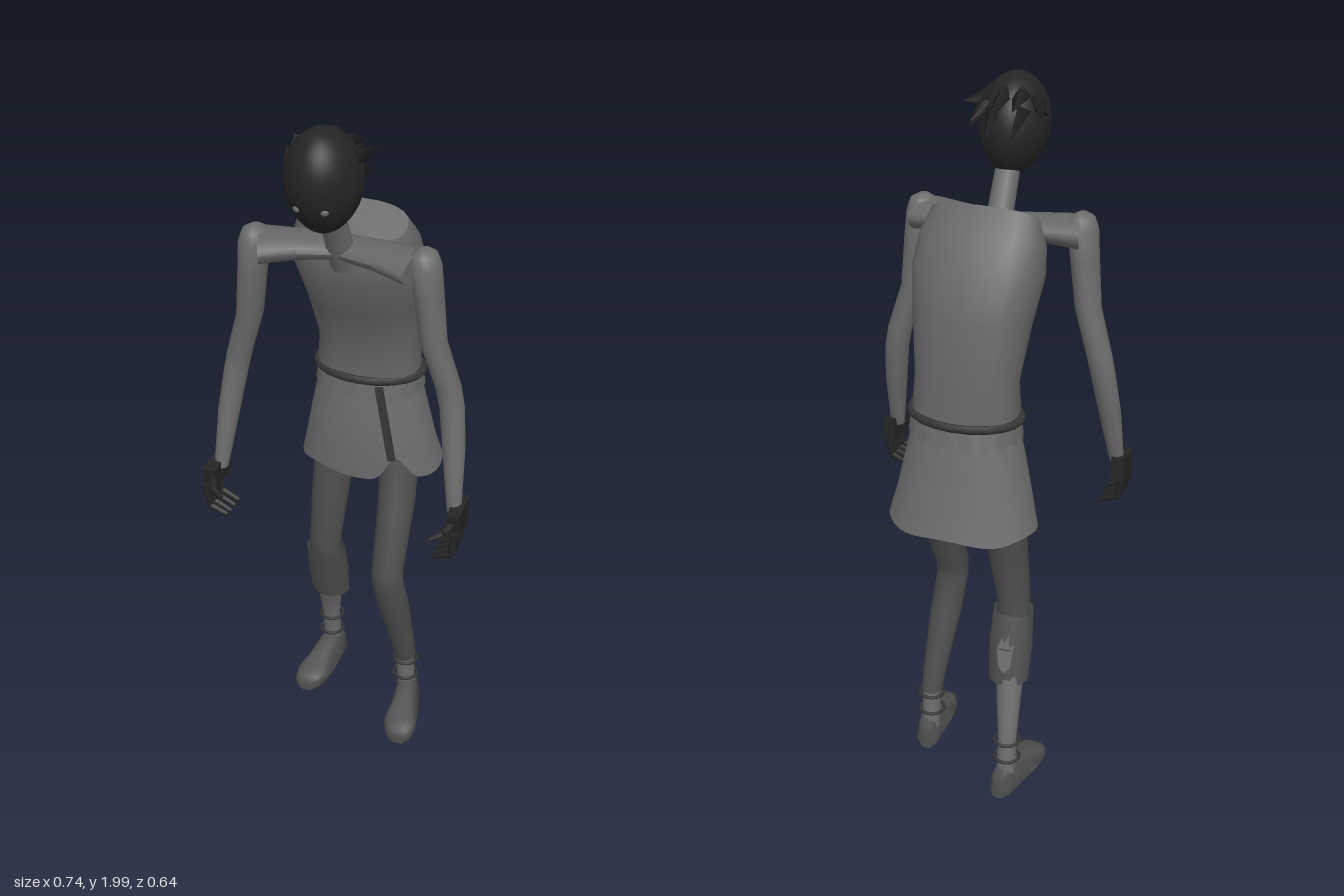
import * as THREE from 'three';
import { toCreasedNormals } from 'three/addons/utils/BufferGeometryUtils.js';

const V = (x, y, z) => new THREE.Vector3(x, y, z);
const mat = (name, color, side = THREE.FrontSide) => {
  const m = new THREE.MeshStandardMaterial({ color, side });
  m.name = name;
  return m;
};

// Ring of points round c, spanned by the axes a and b; bend may move each point
function ring(c, a, b, n = 16, power = 1, bend) {
  const pts = [];
  for (let i = 0; i < n; i++) {
    const t = (i / n) * Math.PI * 2, co = Math.cos(t), si = Math.sin(t);
    const p = c.clone()
      .addScaledVector(a, Math.sign(co) * Math.abs(co) ** power)
      .addScaledVector(b, Math.sign(si) * Math.abs(si) ** power);
    if (bend) bend(p, t);
    pts.push(p);
  }
  return pts;
}

// Skin through equal rings, with optional flat ends
function loft(rings, caps = true, crease = 0.7) {
  const n = rings[0].length, pos = [], idx = [];
  const centre = r => r.reduce((s, p) => s.add(p), V(0, 0, 0)).divideScalar(n);
  const c0 = centre(rings[0]), d = centre(rings[1]).sub(c0);
  const q = Math.floor(n / 4);
  const turn = rings[0][0].clone().sub(c0).cross(rings[0][q].clone().sub(c0)).dot(d);
  const tri = (a, b, c) => (turn > 0 ? idx.push(a, b, c) : idx.push(a, c, b));
  rings.forEach(r => r.forEach(p => pos.push(p.x, p.y, p.z)));
  for (let i = 0; i < rings.length - 1; i++) for (let j = 0; j < n; j++) {
    const k = (j + 1) % n, a = i * n, b = a + n;
    tri(a + j, a + k, b + k);
    tri(a + j, b + k, b + j);
  }
  if (caps) [0, rings.length - 1].forEach(e => {
    const c = centre(rings[e]), m = pos.length / 3;
    pos.push(c.x, c.y, c.z);
    for (let j = 0; j < n; j++) {
      const k = (j + 1) % n;
      e ? tri(m, e * n + j, e * n + k) : tri(m, k, j);
    }
  });
  const g = new THREE.BufferGeometry();
  g.setAttribute('position', new THREE.Float32BufferAttribute(pos, 3));
  g.setIndex(idx);
  return toCreasedNormals(g, crease);
}

// Limb made of level rings: [x, y, z, rx, rz]
const limb = (rows, caps = true, n = 14) =>
  loft(rows.map(([x, y, z, rx, rz]) => ring(V(x, y, z), V(rx, 0, 0), V(0, 0, -rz), n)), caps, 0.9);

// Tapered rod between two points
function rod(a, b, r0, r1, sides = 6) {
  const g = new THREE.CylinderGeometry(r1, r0, a.distanceTo(b), sides);
  g.applyQuaternion(new THREE.Quaternion().setFromUnitVectors(V(0, 1, 0), b.clone().sub(a).normalize()));
  const m = a.clone().add(b).multiplyScalar(0.5);
  return g.translate(m.x, m.y, m.z);
}

export function createModel() {
  const model = new THREE.Group();
  const skin = mat('skin', 0x6c6c6c);
  const shirt = mat('shirt', 0x666666, THREE.DoubleSide);
  const skirtMat = mat('skirt', 0x6c6c6c, THREE.DoubleSide);
  const trousers = mat('trousers', 0x4e4e4e, THREE.DoubleSide);
  const shoe = mat('shoe', 0x505050);
  const black = mat('mask and gloves', 0x242424);
  const hairMat = mat('hair', 0x202020);
  const belt = mat('belt', 0x363636);
  const eyeMat = mat('eye', 0x707070);
  const add = (name, geo, m, parent = model) => {
    const mesh = new THREE.Mesh(geo, m);
    mesh.name = name;
    parent.add(mesh);
    return mesh;
  };

  // Hunched torso: [back y, back z, front y, front z, half width]
  const torso = [
    [1.18, -0.25, 1.18, -0.055, 0.147], [1.3, -0.237, 1.27, -0.055, 0.14],
    [1.46, -0.21, 1.4, -0.005, 0.158], [1.58, -0.17, 1.52, 0.053, 0.176],
    [1.66, -0.11, 1.59, 0.055, 0.17], [1.72, -0.052, 1.64, 0.04, 0.148],
  ].map(([by, bz, fy, fz, w]) =>
    ring(V(0, (by + fy) / 2, (bz + fz) / 2), V(w, 0, 0), V(0, (by - fy) / 2, (bz - fz) / 2), 20, 0.8));
  add('torso', loft(torso, true, 0.6), shirt);

  // Scalloped shirt tail and flared skirt with a front slit
  const tail = (y, rx, z, rz, bend) => ring(V(0, y, z), V(rx, 0, 0), V(0, 0, -rz), 64, 0.92, bend);
  add('shirtTail', loft([
    tail(1.19, 0.148, -0.155, 0.1),
    tail(1.118, 0.156, -0.158, 0.117, (p, t) => { p.y += 0.018 * Math.abs(Math.cos(t * 8)); }),
  ], false), shirt);
  add('skirt', loft([
    tail(1.16, 0.144, -0.155, 0.1), tail(1.05, 0.168, -0.161, 0.121), tail(0.95, 0.189, -0.17, 0.134),
    tail(0.872, 0.208, -0.182, 0.144, (p, t) => {
      p.y += 0.006 * Math.sin(t * 5);
      if (p.z > -0.18) p.y += 0.075 * Math.max(0, 1 - Math.abs(p.x - 0.11) / 0.05);
    }),
  ], false), skirtMat);

  // Belt with a hanging strap
  const beltRing = new THREE.TorusGeometry(1, 0.085, 6, 20).rotateX(Math.PI / 2).scale(0.152, 0.14, 0.108);
  add('belt', beltRing.translate(0, 1.183, -0.155), belt);
  const strap = add('beltStrap', new THREE.BoxGeometry(0.022, 0.225, 0.009), belt);
  strap.position.set(0.083, 1.06, -0.038);
  strap.rotation.set(-0.07, 0, 0.2);

  // Neck
  add('neck', rod(V(0, 1.59, 0.065), V(0, 1.78, 0.165), 0.037, 0.033, 14), skin);

  // Head with a narrow chin
  const head = new THREE.Group();
  head.name = 'head';
  head.position.set(0, 1.866, 0.203);
  head.rotation.x = 0.3;
  model.add(head);
  const egg = new THREE.SphereGeometry(1, 28, 20);
  const ep = egg.attributes.position;
  for (let i = 0; i < ep.count; i++) {
    const low = Math.max(0, -ep.getY(i));
    ep.setX(i, ep.getX(i) * (1 - 0.2 * low * low));
  }
  egg.scale(0.096, 0.137, 0.112).computeVertexNormals();
  add('face', egg, black, head);
  for (const s of [1, -1])
    add('eye', new THREE.SphereGeometry(1, 10, 8).scale(0.01, 0.008, 0.004).rotateY(s * 0.35)
      .translate(s * 0.036, -0.012, 0.104), eyeMat, head);

  // Swept-back hair tufts: base, tip, thickness
  const hair = new THREE.Group();
  hair.name = 'hair';
  model.add(hair);
  [[-0.07, 1.94, 0.18, -0.117, 1.92, 0.083, 0.026], [-0.035, 1.955, 0.16, -0.046, 1.935, 0.06, 0.026],
    [0.005, 1.955, 0.15, 0.012, 1.92, 0.038, 0.028], [0.05, 1.955, 0.17, 0.066, 1.94, 0.102, 0.022],
    [0.072, 1.93, 0.2, 0.111, 1.935, 0.118, 0.024], [-0.078, 1.92, 0.21, -0.123, 1.91, 0.132, 0.024],
    [0.055, 1.93, 0.14, 0.085, 1.89, 0.095, 0.022], [-0.05, 1.92, 0.13, -0.04, 1.86, 0.07, 0.026],
    [0.025, 1.92, 0.12, 0.03, 1.86, 0.062, 0.026], [0.08, 1.9, 0.19, 0.096, 1.87, 0.12, 0.022],
  ].forEach(([x, y, z, tx, ty, tz, r]) =>
    add('hairTuft', rod(V(x, y, z), V(tx, ty, tz), r, 0.001, 4).toNonIndexed(), hairMat, hair));

  for (const s of [1, -1]) {
    const side = s > 0 ? 'left' : 'right';

    // Wide shoulder sleeve, cut flat at its outer end
    add(side + 'ShoulderSleeve', loft([
      ring(V(0, 1.635, 0.07), V(0, 0.026, 0), V(0, 0, 0.055)),
      ring(V(s * 0.11, 1.632, 0.085), V(0, 0.034, 0), V(-s * 0.01, 0, 0.062)),
      ring(V(s * 0.215, 1.625, 0.105), V(0, 0.043, 0), V(-s * 0.025, 0, 0.075)),
    ]), shirt);

    // Bent arm with a rounded shoulder
    add(side + 'Arm', limb([
      [s * 0.225, 1.678, 0.105, 0.012, 0.018], [s * 0.226, 1.667, 0.105, 0.032, 0.036],
      [s * 0.228, 1.635, 0.105, 0.041, 0.05], [s * 0.237, 1.56, 0.1, 0.038, 0.05],
      [s * 0.252, 1.42, 0.096, 0.035, 0.045], [s * 0.292, 1.29, 0.083, 0.035, 0.035],
      [s * 0.305, 1.23, 0.085, 0.034, 0.034], [s * 0.32, 1.12, 0.107, 0.031, 0.033],
      [s * 0.337, 0.95, 0.143, 0.02, 0.021],
    ]), skin);

    // Gloved hand with curled fingers
    const hand = new THREE.Group();
    hand.name = side + 'Hand';
    model.add(hand);
    const palm = add('palm', new THREE.BoxGeometry(0.036, 0.066, 0.098), black, hand);
    palm.position.set(s * 0.349, 0.938, 0.148);
    palm.rotation.x = 0.12;
    [0.12, 0.148, 0.176, 0.203].forEach((z, i) => {
      const k = V(s * 0.358, 0.915, z), m = V(s * 0.35, 0.85, z + 0.002);
      add('fingerBase', rod(k, m, 0.012, 0.01), black, hand);
      add('fingerTip', rod(m, V(s * 0.298, 0.826 + (i === 3 ? 0.006 : 0), z + 0.004), 0.01, 0.007), black, hand);
    });
    add('thumbBase', rod(V(s * 0.345, 0.935, 0.18), V(s * 0.33, 0.925, 0.225), 0.014, 0.011), black, hand);
    add('thumbTip', rod(V(s * 0.33, 0.925, 0.225), V(s * 0.298, 0.91, 0.241), 0.011, 0.007), black, hand);

    // Anklets
    const ax = s > 0 ? 0.14 : -0.15, az = s > 0 ? -0.1 : -0.232;
    for (const y of [0.19, 0.13])
      add(side + 'Anklet', new THREE.TorusGeometry(0.036, 0.005, 6, 16).rotateX(Math.PI / 2).translate(ax, y, az), belt);

    // Shoe: [distance from heel, half width, height]
    const heel = s > 0 ? -0.148 : -0.283;
    add(side + 'Shoe', loft([
      [0, 0.022, 0.07], [0.012, 0.036, 0.095], [0.07, 0.044, 0.106], [0.13, 0.05, 0.085],
      [0.19, 0.05, 0.062], [0.225, 0.04, 0.05], [0.238, 0.024, 0.038],
    ].map(([d, w, h], i) => ring(V(s * (0.143 + d * 0.13), 0.007 + h / 2, heel + d),
      V(w, 0, 0), V(0, h / 2, 0), 16, 0.7, p => { if (p.y > h / 2 && i < 4) p.x += (s * (0.143 + d * 0.13) - p.x) * 0.25; })), true, 0.9), shoe);
  }

  // Left leg, trousered to the ankle
  add('leftTrouserLeg', limb([
    [0.09, 1.06, -0.16, 0.06, 0.065], [0.1, 0.93, -0.13, 0.058, 0.064], [0.107, 0.78, -0.082, 0.054, 0.06],
    [0.11, 0.6, 0.005, 0.047, 0.048], [0.111, 0.56, 0.008, 0.047, 0.045], [0.12, 0.45, -0.025, 0.047, 0.045],
    [0.135, 0.28, -0.075, 0.036, 0.037], [0.14, 0.2, -0.098, 0.031, 0.033],
  ]), trousers);
  add('leftAnkle', limb([[0.14, 0.22, -0.094, 0.027, 0.028], [0.143, 0.07, -0.105, 0.027, 0.03]]), skin);

  // Right leg, set back, with a torn cuff below the knee
  add('rightTrouserLeg', limb([
    [-0.09, 1.06, -0.16, 0.06, 0.065], [-0.098, 0.93, -0.15, 0.064, 0.064], [-0.108, 0.78, -0.125, 0.057, 0.056],
    [-0.12, 0.59, -0.1, 0.048, 0.046], [-0.122, 0.52, -0.11, 0.046, 0.044],
  ]), trousers);
  add('rightShin', limb([
    [-0.122, 0.55, -0.105, 0.042, 0.04], [-0.13, 0.42, -0.145, 0.042, 0.042], [-0.14, 0.3, -0.192, 0.035, 0.034],
    [-0.15, 0.2, -0.228, 0.027, 0.028], [-0.15, 0.07, -0.24, 0.027, 0.03],
  ]), skin);
  add('rightCuff', limb([
    [-0.12, 0.555, -0.1, 0.06, 0.052], [-0.123, 0.46, -0.13, 0.065, 0.054], [-0.125, 0.355, -0.158, 0.059, 0.05],
  ], false, 10), trousers);
  const tear = new THREE.Shape([[-0.02, -0.045], [0, -0.06], [0.014, -0.04], [0.024, 0.01], [0.012, 0.045],
    [0.004, 0.03], [-0.008, 0.055], [-0.012, 0.02], [-0.026, 0.03]].map(p => new THREE.Vector2(...p)));
  const hole = add('cuffTear', new THREE.ExtrudeGeometry(tear, { depth: 0.006, bevelEnabled: false }), skin);
  hole.position.set(-0.123, 0.45, -0.184);
  hole.rotation.set(0.27, 0, 0);

  return model;
}
